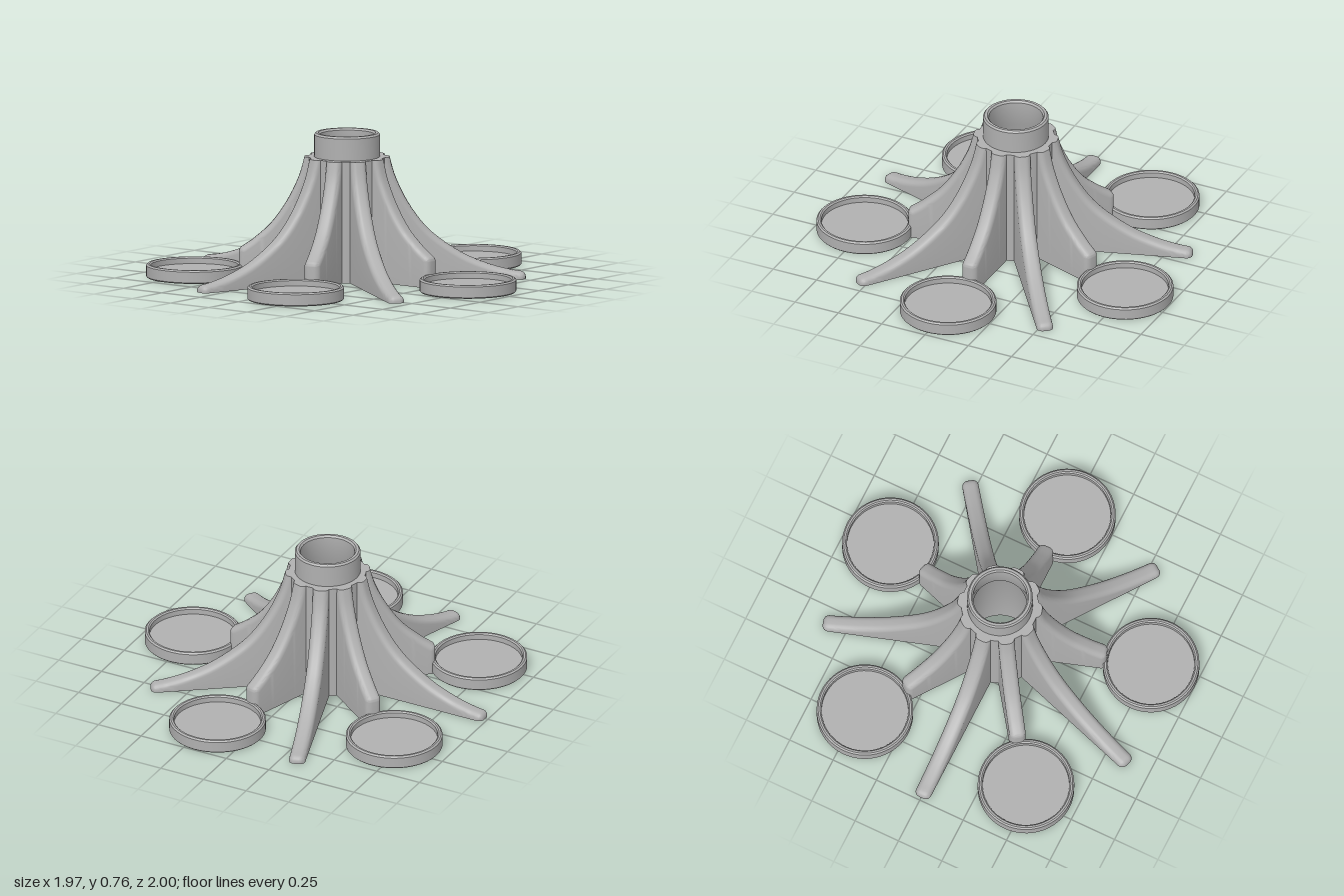
import * as THREE from 'three';
import { toCreasedNormals } from 'three/addons/utils/BufferGeometryUtils.js';

const HUB_X = -0.06;      // hub axis, the cups and fins spread around it
const HALF = 0.0425;      // half thickness of a fin
const ROUND = 0.03;       // rounding of the fin crest

// closed turned part from a counter-clockwise (radius, height) loop
function turned(points) {
  const loop = [...points, points[0]].map(([r, y]) => new THREE.Vector2(r, y));
  return toCreasedNormals(new THREE.LatheGeometry(loop, 64), 0.6);
}

// fin swept along its crest line: slope followed by a rounded nose down to the floor
function finGeometry(slope, noseX, noseY, startAngle) {
  const path = new THREE.SplineCurve(slope.map(([r, y]) => new THREE.Vector2(r, y))).getPoints(28);
  for (let k = 0; k <= 5; k++) {
    const a = startAngle * (1 - k / 5);
    path.push(new THREE.Vector2(noseX + ROUND * Math.cos(a), noseY + ROUND * Math.sin(a)));
  }
  path.push(new THREE.Vector2(noseX + ROUND, 0));

  const pos = [], index = [], steps = 5;
  const rowSize = 2 * (steps + 1) + 2;
  path.forEach((p, i) => {
    const t = path[Math.min(i + 1, path.length - 1)].clone().sub(path[Math.max(i - 1, 0)]).normalize();
    // the two ends are cut level
    const n = i === 0 || i >= path.length - 2 ? new THREE.Vector2(1, 0) : new THREE.Vector2(-t.y, t.x);
    const at = (inset, z) => pos.push(p.x - n.x * inset, Math.max(0, p.y - n.y * inset), z);
    const footX = p.x - n.x * ROUND;
    pos.push(footX, 0, HALF);
    for (const side of [1, -1]) {
      for (let k = 0; k <= steps; k++) {
        const a = (side > 0 ? k : steps - k) / steps * Math.PI / 2;
        at(ROUND * (1 - Math.sin(a)), side * (HALF - ROUND + ROUND * Math.cos(a)));
      }
    }
    pos.push(footX, 0, -HALF);
  });
  for (let i = 0; i < path.length - 1; i++) {
    for (let j = 0; j < rowSize; j++) {
      const k = (j + 1) % rowSize;
      const a = i * rowSize + j, b = a + rowSize, c = i * rowSize + k, d = c + rowSize;
      index.push(a, b, c, b, d, c);
    }
  }
  // level cap at the top and under the nose
  const last = (path.length - 1) * rowSize;
  for (let j = 2; j < rowSize - 2; j++) {
    index.push(1, j, j + 1);
    index.push(last + 1, last + j + 1, last + j);
  }
  const g = new THREE.BufferGeometry();
  g.setAttribute('position', new THREE.Float32BufferAttribute(pos, 3));
  g.setIndex(index);
  return toCreasedNormals(g, 0.6);
}

export function createModel() {
  const model = new THREE.Group();
  model.name = 'radialStand';
  const grey = new THREE.MeshStandardMaterial({ color: 0xb0b0b0 });
  grey.name = 'plain grey';

  const add = (geometry, name, angle = 0) => {
    const mesh = new THREE.Mesh(geometry, grey);
    mesh.name = name;
    mesh.position.x = HUB_X;
    mesh.rotation.y = angle;
    model.add(mesh);
    return mesh;
  };

  // hollow hub with a narrower collar on top
  add(turned([
    [0.175, 0], [0.2, 0], [0.2, 0.635], [0.17, 0.635], [0.17, 0.75], [0.162, 0.76],
    [0.148, 0.76], [0.14, 0.75], [0.14, 0.62], [0.175, 0.56],
  ]), 'hub');

  // shared crest line of all fins
  const crest = [[0.22, 0.635], [0.25, 0.53], [0.31, 0.405], [0.39, 0.29], [0.48, 0.207]];
  const longFin = finGeometry(
    [...crest, [0.61, 0.125], [0.74, 0.073], [0.84, 0.047], [0.89, 0.039]], 0.895, 0.008, Math.PI / 2);
  const shortFin = finGeometry([...crest, [0.54, 0.164]], 0.53, 0.135, Math.PI / 3);

  // shallow round cup
  const cup = turned([
    [0, 0], [0.244, 0], [0.25, 0.006], [0.25, 0.062], [0.242, 0.07],
    [0.232, 0.07], [0.225, 0.063], [0.225, 0.035], [0, 0.035],
  ]);

  for (let i = 0; i < 5; i++) {
    const angle = i * Math.PI * 2 / 5;
    add(shortFin, 'shortFin', angle);
    add(longFin, 'longFin', angle + Math.PI / 5);
    const dish = add(cup, 'cup');
    dish.position.x += 0.79 * Math.cos(angle);
    dish.position.z = -0.79 * Math.sin(angle);
  }
  return model;
}
